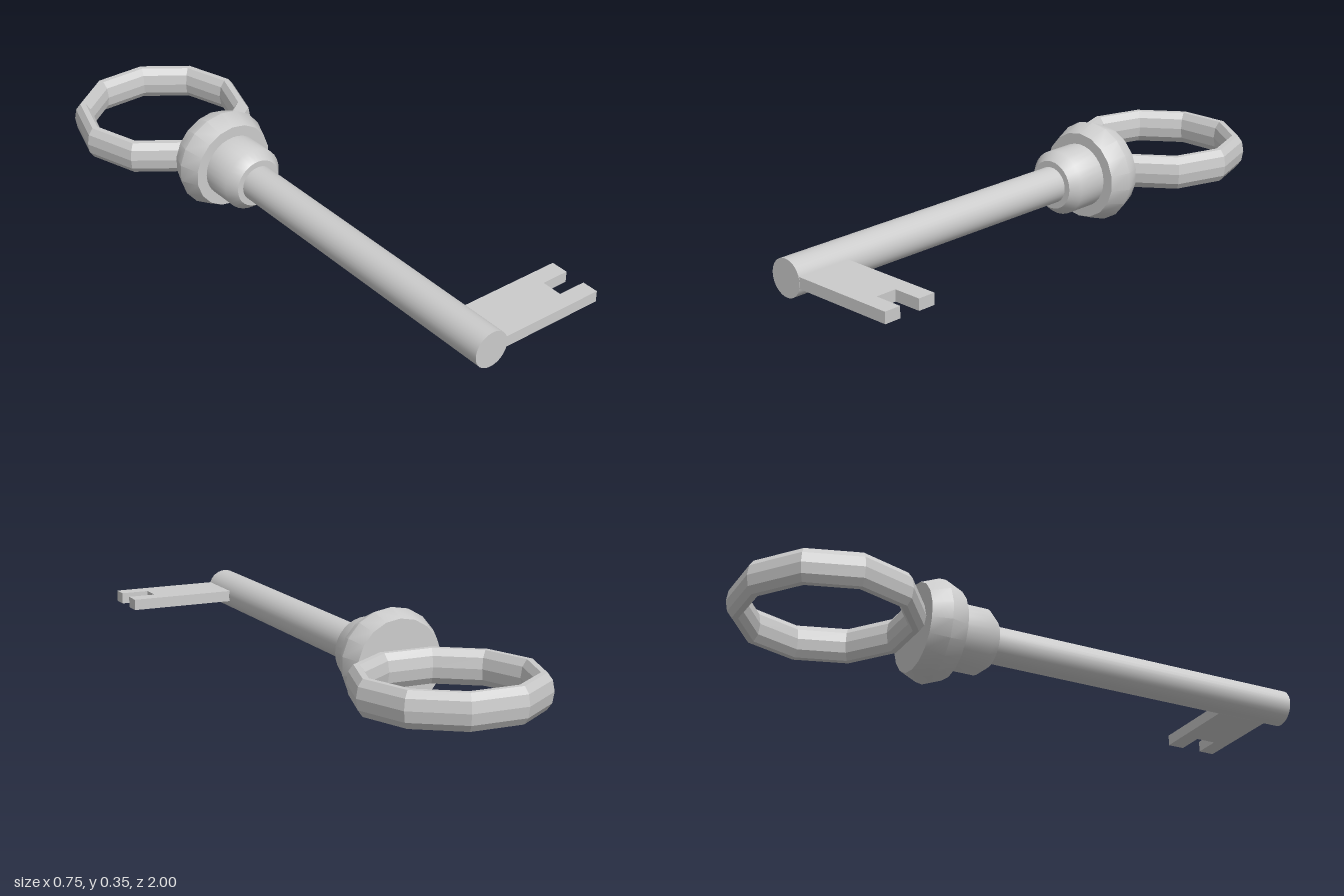
import * as THREE from 'three';
import { toCreasedNormals } from 'three/addons/utils/BufferGeometryUtils.js';

const AXIS_X = -0.058;
const AXIS_Y = 0.173;

export function createModel() {
  const key = new THREE.Group();
  key.name = 'key';
  const smooth = new THREE.MeshStandardMaterial({ color: 0xcccccc });
  const faceted = new THREE.MeshStandardMaterial({ color: 0xcccccc, flatShading: true });

  const add = (name, geometry, material, x, y, z) => {
    const mesh = new THREE.Mesh(geometry, material);
    mesh.name = name;
    mesh.position.set(x, y, z);
    key.add(mesh);
  };

  // Solid turned about the key's long axis; profile is [radius, z] from back to front
  const addTurned = (name, profile, sides) => {
    const points = profile.map(([r, z]) => new THREE.Vector2(r, z));
    const lathe = new THREE.LatheGeometry(points, sides).rotateX(Math.PI / 2);
    add(name, toCreasedNormals(lathe, Math.PI / 4), smooth, AXIS_X, AXIS_Y, 0);
  };

  addTurned('shaft', [[0, -0.2], [0.062, -0.2], [0.062, 1], [0, 1]], 32);
  addTurned('collar', [[0, -0.3], [0.11, -0.3], [0.11, -0.175], [0.083, -0.142], [0, -0.142]], 32);
  addTurned('shoulder', [[0, -0.41], [0.148, -0.41], [0.173, -0.348], [0.148, -0.284], [0, -0.284]], 18);

  // Ten-sided loop handle, lying flat and stretched in height
  const loop = new THREE.TorusGeometry(0.2785, 0.0315, 10, 10);
  loop.rotateX(Math.PI / 2).scale(1, 1.9, 1);
  add('handleLoop', loop, faceted, -0.064, 0.17, -0.705);

  // Flat bit with a square notch in its outer edge; outline is [x, z]
  const outline = [
    [-0.03, 0.81], [0.372, 0.81], [0.372, 0.87], [0.274, 0.87],
    [0.274, 0.942], [0.372, 0.942], [0.372, 0.999], [-0.03, 0.999],
  ];
  const bit = new THREE.ExtrudeGeometry(
    new THREE.Shape(outline.map(([x, z]) => new THREE.Vector2(x, z))),
    { depth: 0.038, bevelEnabled: false },
  );
  bit.rotateX(Math.PI / 2);
  add('bit', bit, faceted, 0, 0.193, 0);

  return key;
}
